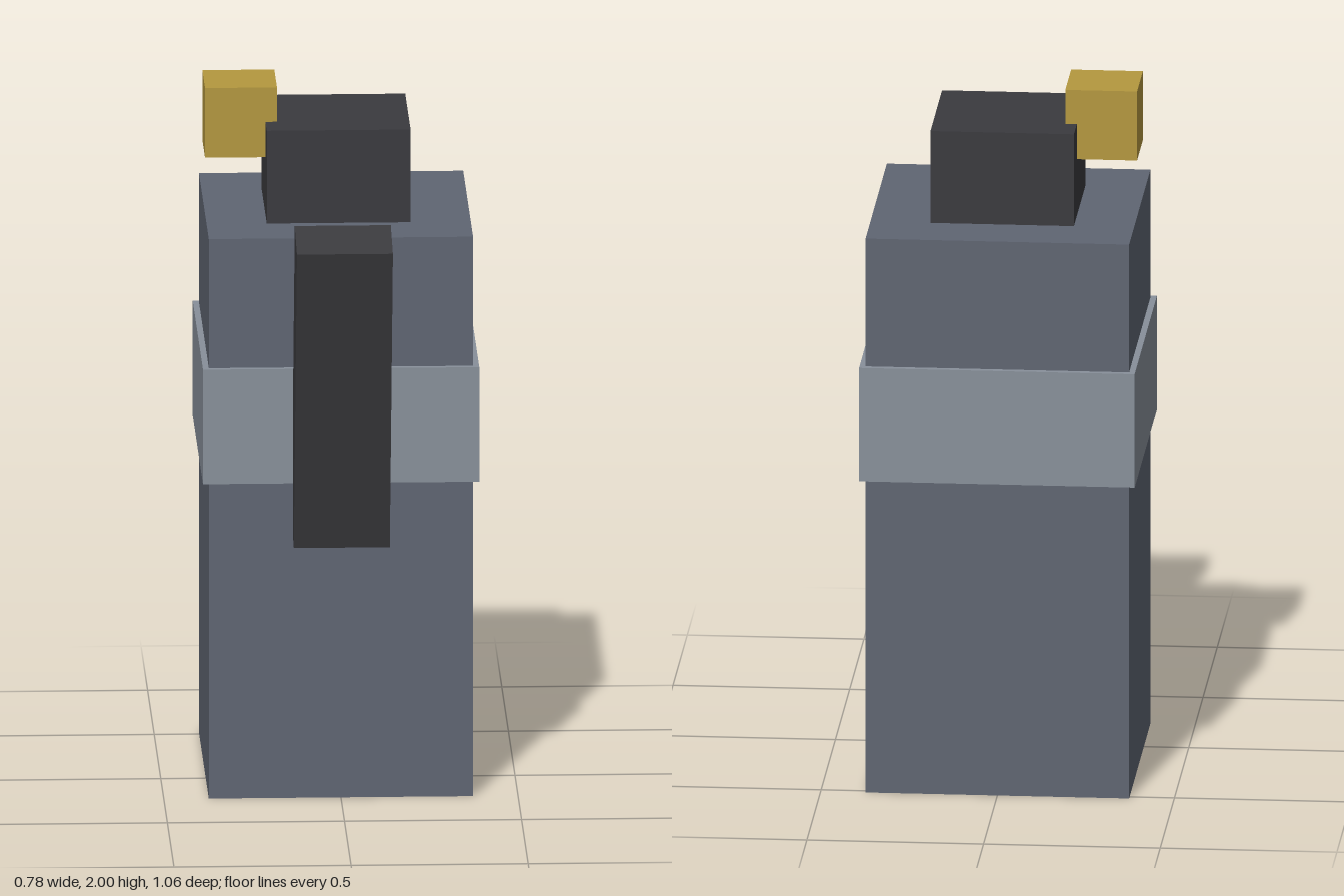
import * as THREE from 'three';

const material = (name, color) => {
  const m = new THREE.MeshStandardMaterial({ color });
  m.name = name;
  return m;
};

export function createModel() {
  const slate = material('slate', 0x5f6572);
  const steel = material('steel', 0x88909a);
  const charcoal = material('charcoal', 0x3a3a3e);
  const brass = material('brass', 0xb4983f);

  const model = new THREE.Group();
  model.name = 'canister';

  // Adds a box by its size and centre
  const addBox = (name, mat, [w, h, d], [x, y, z]) => {
    const mesh = new THREE.Mesh(new THREE.BoxGeometry(w, h, d), mat);
    mesh.name = name;
    mesh.position.set(x, y, z);
    model.add(mesh);
    return mesh;
  };

  const axisZ = -0.143; // shared centre line of body, band and cap

  addBox('body', slate, [0.746, 1.63, 0.746], [0, 0.815, axisZ]);
  addBox('band', steel, [0.78, 0.335, 0.78], [0, 1.087, axisZ]);
  addBox('cap', charcoal, [0.406, 0.271, 0.406], [0, 1.7645, axisZ]);

  // Small block at the side of the cap
  addBox('nozzle', brass, [0.203, 0.203, 0.203], [-0.272, 1.8985, axisZ]);

  // Lever leaning out from the front
  const lever = addBox('lever', charcoal, [0.271, 0.945, 0.168], [0, 1.223, 0.333]);
  lever.rotation.x = 0.25;

  return model;
}
